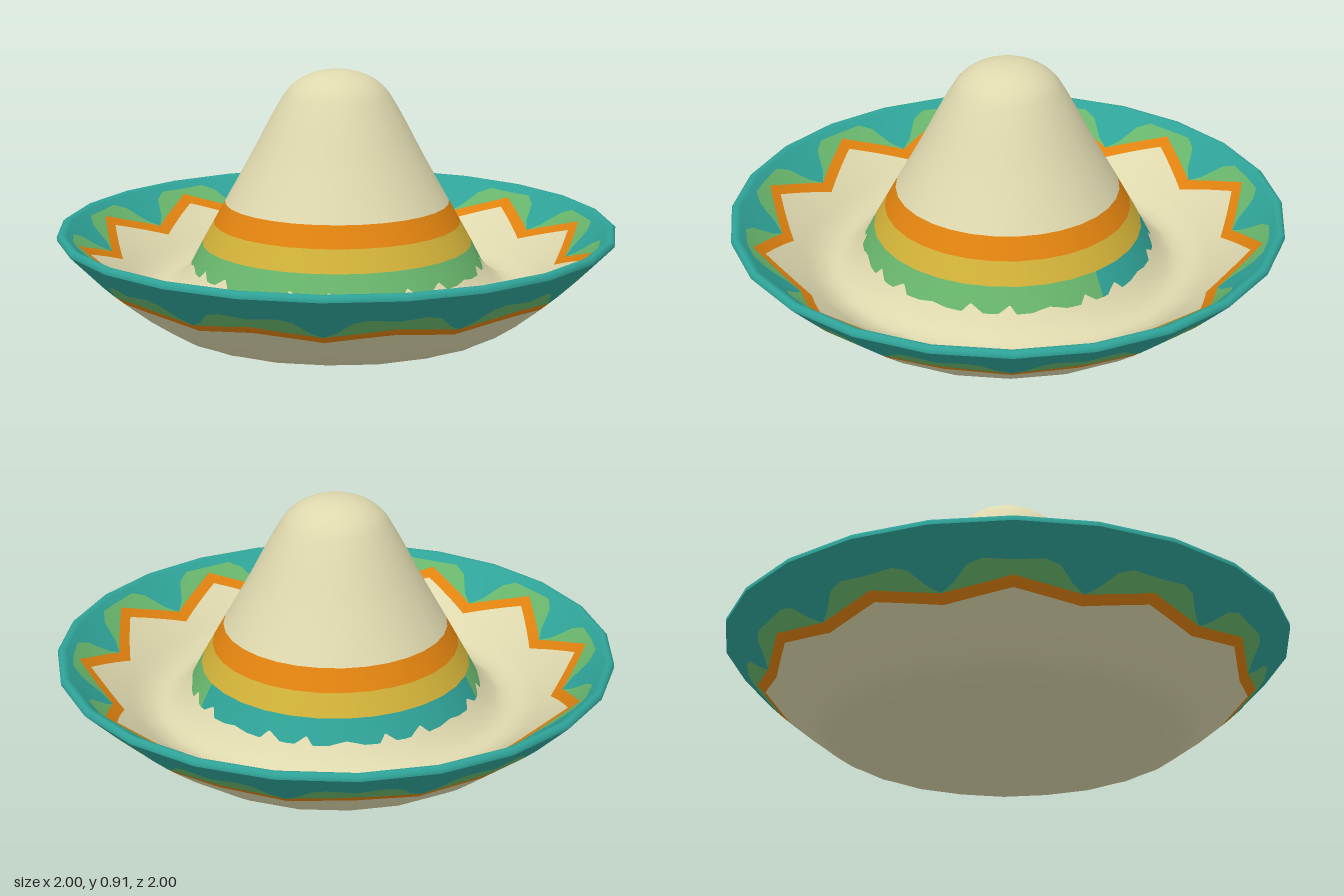
import * as THREE from 'three';

const mat = (name, color) => {
  const m = new THREE.MeshStandardMaterial({ color });
  m.name = name;
  return m;
};

// Piecewise linear lookup through [x, y] points
function lookup(points, x) {
  let i = 1;
  while (i < points.length - 1 && x > points[i][0]) i++;
  const [x0, y0] = points[i - 1], [x1, y1] = points[i];
  return y0 + ((x - x0) / (x1 - x0)) * (y1 - y0);
}

const SIDES = 24, SUB = 10;

// Ring of the brim between two wavy radii, draped on a height profile.
// s runs from 0 at a zigzag tip to 1 at a zigzag valley.
function brimRing(profile, inner, outer, rows, faceUp) {
  const pos = [], nor = [], idx = [];
  const height = (r) => lookup(profile, r);
  const first = profile[0][0], last = profile[profile.length - 1][0];
  const n = SIDES * SUB;
  for (let i = 0; i <= n; i++) {
    const k = Math.floor(i / SUB), t = (i % SUB) / SUB;
    const s = k % 2 ? 1 - t : t;
    const a0 = (k * 2 * Math.PI) / SIDES, a1 = ((k + 1) * 2 * Math.PI) / SIDES;
    const ux = Math.sin(a0) * (1 - t) + Math.sin(a1) * t;
    const uz = Math.cos(a0) * (1 - t) + Math.cos(a1) * t;
    const r0 = lookup(inner, s), r1 = lookup(outer, s);
    for (let j = 0; j <= rows; j++) {
      const r = r0 + ((r1 - r0) * j) / rows;
      pos.push(ux * r, height(r), uz * r);
      const lo = Math.max(first, r - 0.04), hi = Math.min(last, r + 0.04);
      const slope = (height(hi) - height(lo)) / (hi - lo);
      const v = new THREE.Vector3(-slope * ux, 1, -slope * uz).normalize();
      if (!faceUp) v.negate();
      nor.push(v.x, v.y, v.z);
      if (i < n && j < rows) {
        const a = i * (rows + 1) + j, b = a + rows + 1;
        if (faceUp) idx.push(a, a + 1, b, b, a + 1, b + 1);
        else idx.push(a, b, a + 1, b, b + 1, a + 1);
      }
    }
  }
  const g = new THREE.BufferGeometry();
  g.setAttribute('position', new THREE.Float32BufferAttribute(pos, 3));
  g.setAttribute('normal', new THREE.Float32BufferAttribute(nor, 3));
  g.setIndex(idx);
  return g;
}

export function createModel() {
  const cream = mat('cream straw', 0xded8ae);
  const orange = mat('orange', 0xe0820f);
  const yellow = mat('yellow', 0xd0b038);
  const green = mat('green', 0x68b56c);
  const teal = mat('teal', 0x2fa398);

  const hat = new THREE.Group();
  hat.name = 'hat';
  const add = (parent, name, geometry, material) => {
    const mesh = new THREE.Mesh(geometry, material);
    mesh.name = name;
    parent.add(mesh);
  };
  const lathe = (pts, segments, start = 0, length = Math.PI * 2) =>
    new THREE.LatheGeometry(pts.map(([x, y]) => new THREE.Vector2(x, y)), segments, start, length);

  // Crown: rounded cone above three stacked bands
  const crown = new THREE.Group();
  crown.name = 'crown';
  hat.add(crown);
  const dome = new THREE.SplineCurve([
    [0.404, 0.435], [0.35, 0.53], [0.3, 0.62], [0.25, 0.715], [0.205, 0.795],
    [0.17, 0.845], [0.12, 0.882], [0.06, 0.903], [0, 0.909],
  ].map(([x, y]) => new THREE.Vector2(x, y)));
  const domePoints = dome.getPoints(28).map((p) => [Math.max(p.x, 0), p.y]);
  domePoints[domePoints.length - 1][0] = 0;
  add(crown, 'crownDome', lathe(domePoints, 32), cream);
  add(crown, 'orangeBand', lathe([[0.445, 0.362], [0.404, 0.435]], 32), orange);
  add(crown, 'yellowBand', lathe([[0.487, 0.287], [0.445, 0.362]], 32), yellow);
  // The lowest band is green in front and teal behind
  const lowBand = [[0.53, 0.205], [0.487, 0.287]];
  const split = Math.PI * 0.625;
  add(crown, 'frontBand', lathe(lowBand, 20, -split, split * 2), green);
  add(crown, 'backBand', lathe(lowBand, 12, split, Math.PI * 2 - split * 2), teal);

  // Brim: upper and lower faces, each with a zigzag, scallops and a border
  const faces = [
    {
      name: 'upperBrim', up: true, start: 0.515, end: 0.97,
      profile: [[0.515, 0.23], [0.53, 0.205], [0.575, 0.155], [0.63, 0.125], [0.7, 0.14],
        [0.8, 0.215], [0.9, 0.29], [0.97, 0.35]],
      zigIn: [[0, 0.885], [1, 0.785]],
      zigOut: [[0, 0.925], [1, 0.825]],
      scallop: [[0, 0.945], [0.4, 0.95], [0.6, 0.925], [0.8, 0.86], [1, 0.825]],
    },
    {
      name: 'lowerBrim', up: false, start: 0.55, end: 1,
      profile: [[0.55, 0], [0.64, 0.02], [0.72, 0.075], [0.8, 0.14], [0.87, 0.2], [1, 0.335]],
      zigIn: [[0, 0.852], [1, 0.815]],
      zigOut: [[0, 0.882], [1, 0.845]],
      scallop: [[0, 0.915], [0.4, 0.922], [0.6, 0.91], [0.8, 0.872], [1, 0.845]],
    },
  ];
  for (const f of faces) {
    const group = new THREE.Group();
    group.name = f.name;
    hat.add(group);
    const flat = (r) => [[0, r], [1, r]];
    const ring = (name, a, b, rows, m) => add(group, name, brimRing(f.profile, a, b, rows, f.up), m);
    ring('brimStraw', flat(f.start), f.zigIn, 14, cream);
    ring('zigzag', f.zigIn, f.zigOut, 2, orange);
    ring('scallops', f.zigOut, f.scallop, 2, green);
    ring('border', f.scallop, flat(f.end), 4, teal);
  }

  // Rolled edge and flat base
  add(hat, 'brimEdge',
    lathe([[1, 0.335], [1, 0.348], [0.99, 0.356], [0.98, 0.356], [0.97, 0.35]], SIDES), teal);
  const base = new THREE.CircleGeometry(0.55, SIDES, Math.PI / 2).rotateX(Math.PI / 2);
  add(hat, 'base', base, cream);

  return hat;
}
